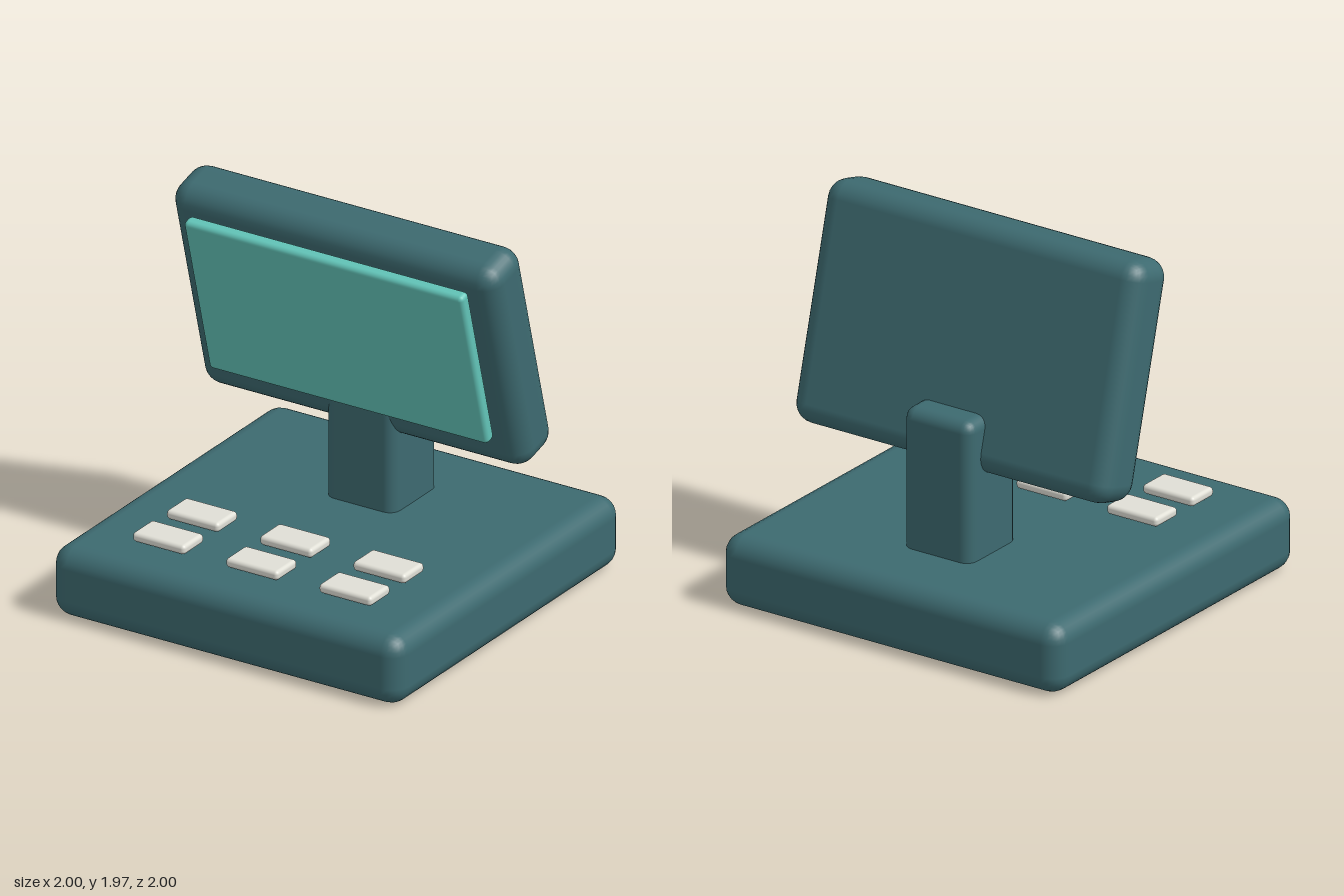
import * as THREE from 'three';
import { RoundedBoxGeometry } from 'three/addons/geometries/RoundedBoxGeometry.js';

export function createModel() {
  const model = new THREE.Group();
  model.name = 'countertopTerminal';

  const body = new THREE.MeshStandardMaterial({ color: 0x3d6a70 });
  const glass = new THREE.MeshStandardMaterial({ color: 0x62c4b8 });
  const ivory = new THREE.MeshStandardMaterial({ color: 0xe0dfd6 });

  // Rounded block with its centre at x, y, z
  function block(name, material, [w, h, d], radius, [x, y, z], parent = model) {
    const mesh = new THREE.Mesh(new RoundedBoxGeometry(w, h, d, 3, radius), material);
    mesh.name = name;
    mesh.position.set(x, y, z);
    parent.add(mesh);
    return mesh;
  }

  // Base slab and the post rising out of it
  block('base', body, [2, 0.37, 2], 0.1, [0, 0.185, 0]);
  block('stand', body, [0.4, 0.8, 0.4], 0.06, [0, 0.7, -0.4]);

  // Monitor leaning forward over the keys
  const monitor = new THREE.Group();
  monitor.name = 'monitor';
  monitor.position.set(0, 1.37, -0.23);
  monitor.rotation.x = THREE.MathUtils.degToRad(15);
  model.add(monitor);
  block('monitorHousing', body, [1.865, 1.21, 0.3], 0.1, [0, 0, 0], monitor);
  block('screen', glass, [1.595, 0.9, 0.07], 0.025, [0, 0.053, 0.198], monitor);

  // Two rows of three keys
  for (const z of [0.36, 0.66]) {
    for (const x of [-0.533, 0, 0.533]) {
      block('key', ivory, [0.3, 0.05, 0.18], 0.02, [x, 0.403, z]);
    }
  }
  return model;
}
